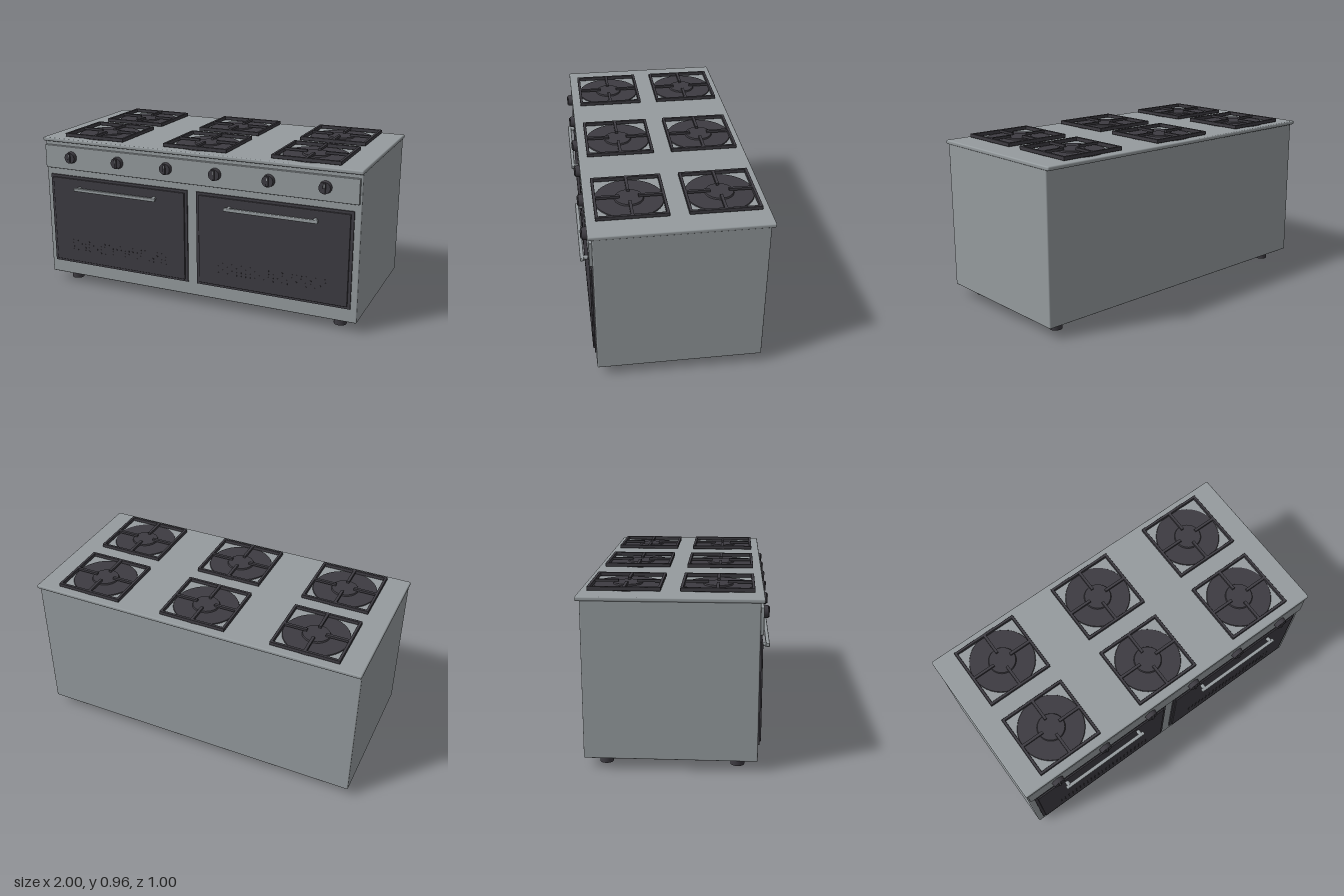
import * as THREE from 'three';
import { RoundedBoxGeometry } from 'three/addons/geometries/RoundedBoxGeometry.js';

const steel = new THREE.MeshStandardMaterial({ color: 0x959b9e });
steel.name = 'brushed steel';
const iron = new THREE.MeshStandardMaterial({ color: 0x3d3b41 });
iron.name = 'dark iron';

function add(parent, name, geometry, material, x = 0, y = 0, z = 0) {
  const mesh = new THREE.Mesh(geometry, material);
  mesh.name = name;
  mesh.position.set(x, y, z);
  parent.add(mesh);
  return mesh;
}

// Box given by its limits, with optional rounded edges
function block(parent, name, material, [x0, x1], [y0, y1], [z0, z1], radius = 0) {
  const size = [x1 - x0, y1 - y0, z1 - z0];
  const geometry = radius ? new RoundedBoxGeometry(...size, 2, radius) : new THREE.BoxGeometry(...size);
  return add(parent, name, geometry, material, (x0 + x1) / 2, (y0 + y1) / 2, (z0 + z1) / 2);
}

function group(parent, name, x = 0, y = 0, z = 0) {
  const g = new THREE.Group();
  g.name = name;
  g.position.set(x, y, z);
  parent.add(g);
  return g;
}

// Gas burner: flat bowl, cap, square pan support with four fingers
function burner(parent, x, z) {
  const g = group(parent, 'burner', x, 0.935, z);
  const half = 0.2, depth = 0.193, bar = 0.016;
  add(g, 'burnerBowl', new THREE.CylinderGeometry(0.187, 0.19, 0.006, 40), iron, 0, 0.003, 0);
  add(g, 'burnerCap', new THREE.CylinderGeometry(0.076, 0.08, 0.008, 32), iron, 0, 0.01, 0);
  for (const s of [-1, 1]) {
    add(g, 'grateSide', new RoundedBoxGeometry(bar, 0.022, depth * 2, 1, 0.003), iron, s * (half - bar / 2), 0.016, 0);
    add(g, 'grateEnd', new RoundedBoxGeometry(half * 2, 0.022, bar, 1, 0.003), iron, 0, 0.016, s * (depth - bar / 2));
    add(g, 'grateFinger', new THREE.BoxGeometry(0.135, 0.014, bar), iron, s * 0.122, 0.02, 0);
    add(g, 'grateFinger', new THREE.BoxGeometry(bar, 0.014, 0.135), iron, 0, 0.02, s * 0.118);
  }
}

// Control knob with a raised grip and a pointer mark
function knob(parent, x) {
  const g = group(parent, 'knob', x, 0.826, 0.46);
  const dial = add(g, 'knobDial', new THREE.CylinderGeometry(0.033, 0.036, 0.026, 32), iron, 0, 0, 0.013);
  dial.rotation.x = Math.PI / 2;
  add(g, 'knobGrip', new RoundedBoxGeometry(0.016, 0.056, 0.014, 1, 0.003), iron, 0, 0, 0.026);
  add(g, 'knobMark', new THREE.BoxGeometry(0.004, 0.018, 0.002), steel, 0, 0.014, 0.0335);
}

// Oven door with raised panel, dotted vents and bar handle
function door(parent, x) {
  const g = group(parent, 'ovenDoor', x, 0, 0);
  block(g, 'doorFrame', iron, [-0.466, 0.466], [0.142, 0.706], [0.435, 0.451]);
  block(g, 'doorPanel', iron, [-0.449, 0.449], [0.156, 0.69], [0.445, 0.459], 0.003);
  const dot = new THREE.BoxGeometry(0.007, 0.007, 0.003);
  const vents = new THREE.InstancedMesh(dot, iron, 4 * 24);
  vents.name = 'vents';
  const m = new THREE.Matrix4();
  for (let i = 0; i < 96; i++) {
    m.makeTranslation(-0.322 + (i % 24) * 0.028, 0.235 + Math.floor(i / 24) * 0.02, 0.459);
    vents.setMatrixAt(i, m);
  }
  g.add(vents);
  block(g, 'handleBar', steel, [-0.278, 0.278], [0.625, 0.645], [0.479, 0.5], 0.005);
  for (const s of [-1, 1]) {
    const post = add(g, 'handlePost', new THREE.CylinderGeometry(0.012, 0.012, 0.03, 16), steel, s * 0.255, 0.635, 0.471);
    post.rotation.x = Math.PI / 2;
  }
}

export function createModel() {
  const model = new THREE.Group();
  model.name = 'stove';

  // Cabinet, worktop and control panel
  block(model, 'cabinet', steel, [-0.996, 0.996], [0.06, 0.92], [-0.476, 0.443], 0.007);
  block(model, 'worktop', steel, [-1, 1], [0.913, 0.936], [-0.5, 0.464], 0.008);
  block(model, 'controlPanel', steel, [-0.99, 0.985], [0.747, 0.89], [0.435, 0.46], 0.004);

  // Cooktop
  for (const x of [-0.668, 0, 0.666]) for (const z of [-0.265, 0.222]) burner(model, x, z);

  // Front fittings
  for (const x of [-0.802, -0.48, -0.158, 0.152, 0.474, 0.798]) knob(model, x);
  for (const x of [-0.497, 0.493]) door(model, x);

  // Feet
  for (const x of [-0.88, 0.876]) for (const z of [-0.369, 0.338]) {
    add(model, 'foot', new THREE.CylinderGeometry(0.037, 0.037, 0.066, 24), iron, x, 0.033, z);
  }
  return model;
}
